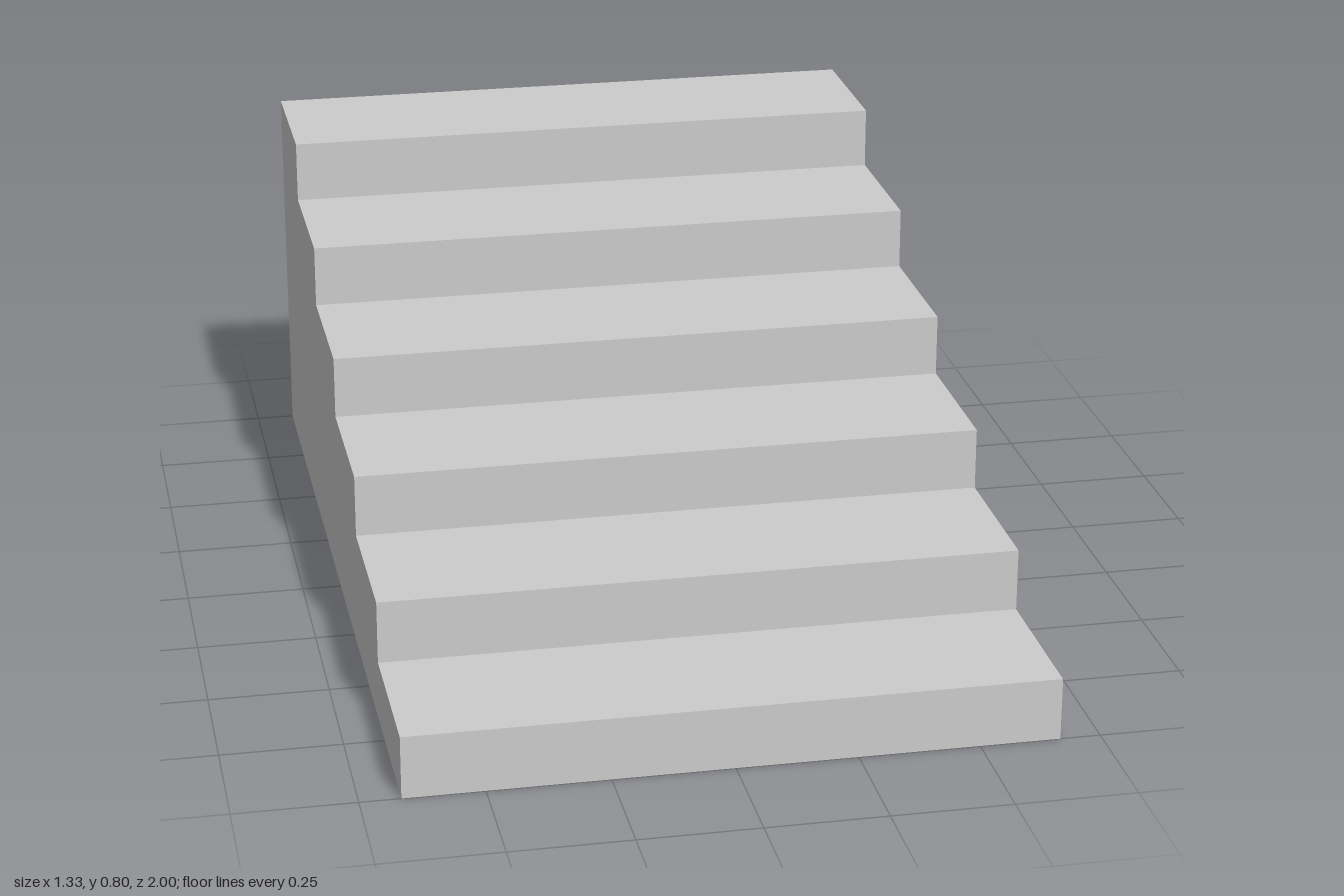
import * as THREE from 'three';

const STEPS = 6, LENGTH = 2, HEIGHT = 0.8, WIDTH = 4 / 3;

// Stepped side profile, drawn from the low front (-1) to the tall back (+1)
function stairProfile() {
  const run = LENGTH / STEPS, rise = HEIGHT / STEPS;
  const shape = new THREE.Shape();
  shape.moveTo(-LENGTH / 2, 0);
  shape.lineTo(LENGTH / 2, 0);
  for (let i = STEPS; i > 0; i--) {
    shape.lineTo(-LENGTH / 2 + i * run, i * rise);
    shape.lineTo(-LENGTH / 2 + (i - 1) * run, i * rise);
  }
  shape.closePath();
  return shape;
}

export function createModel() {
  const group = new THREE.Group();
  group.name = 'staircase';

  // Solid flight: profile extruded across the width, then turned to face +z
  const geometry = new THREE.ExtrudeGeometry(stairProfile(), { depth: WIDTH, bevelEnabled: false });
  geometry.translate(0, 0, -WIDTH / 2);
  geometry.rotateY(Math.PI / 2);

  const material = new THREE.MeshStandardMaterial({ color: 0xcccccc, flatShading: true });
  const steps = new THREE.Mesh(geometry, material);
  steps.name = 'steps';
  group.add(steps);
  return group;
}
